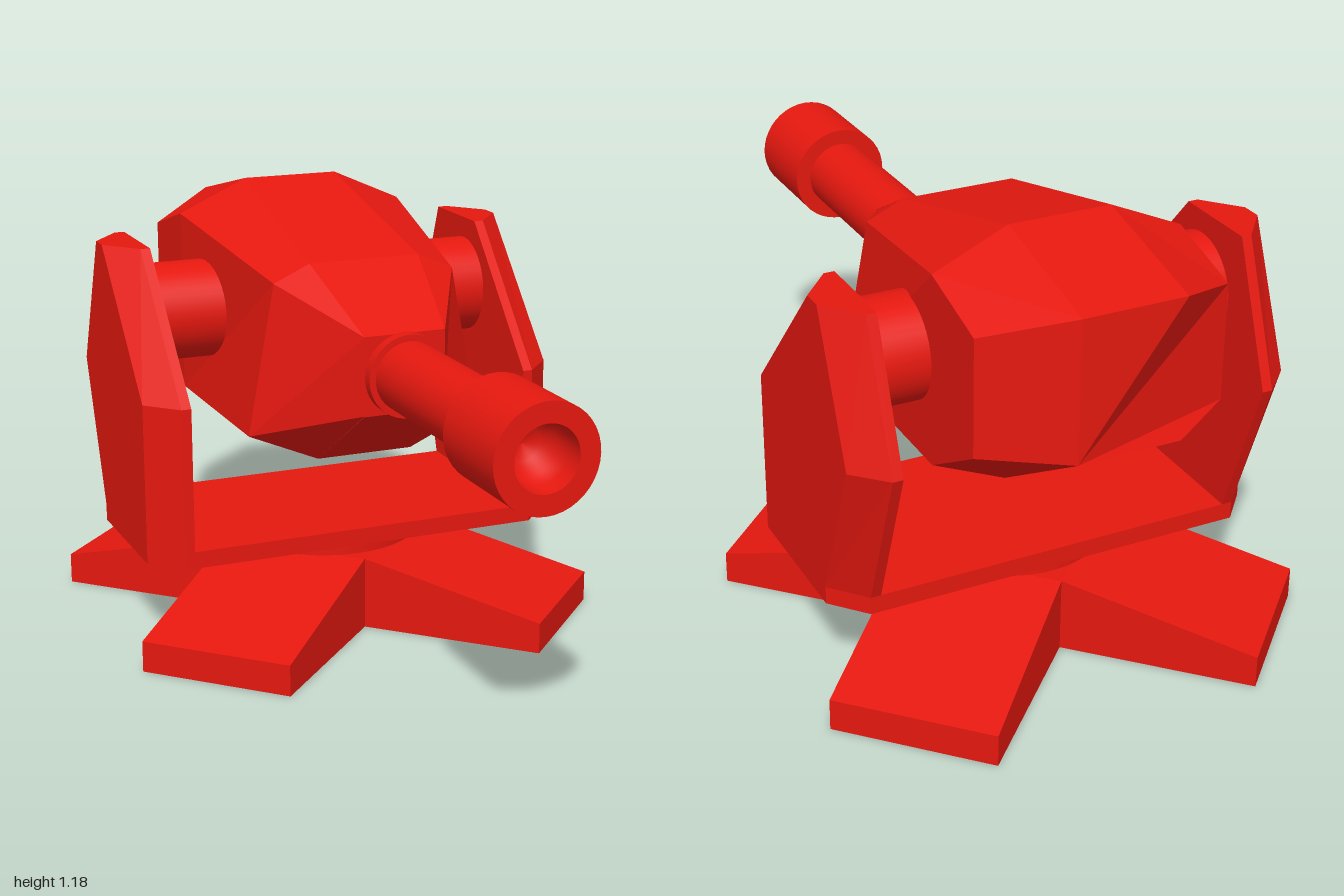
import * as THREE from 'three';

const red = new THREE.MeshStandardMaterial({ color: 0xe5180f });
const redFlat = new THREE.MeshStandardMaterial({ color: 0xe5180f, flatShading: true });

// Skin and cap a stack of rings; each ring runs counter-clockwise seen from the first ring's side.
function loft(rings) {
  const pos = [];
  const tri = (a, b, c) => pos.push(...a, ...b, ...c);
  const n = rings[0].length;
  for (let r = 0; r < rings.length - 1; r++) {
    const a = rings[r], b = rings[r + 1];
    for (let i = 0; i < n; i++) {
      const j = (i + 1) % n;
      tri(a[i], b[i], b[j]);
      tri(a[i], b[j], a[j]);
    }
  }
  const first = rings[0], last = rings[rings.length - 1];
  for (let i = 1; i < n - 1; i++) {
    tri(first[0], first[i], first[i + 1]);
    tri(last[0], last[i + 1], last[i]);
  }
  const g = new THREE.BufferGeometry();
  g.setAttribute('position', new THREE.Float32BufferAttribute(pos, 3));
  g.computeVertexNormals();
  return g;
}

function add(parent, name, geometry, material, x = 0, y = 0, z = 0) {
  const mesh = new THREE.Mesh(geometry, material);
  mesh.name = name;
  mesh.position.set(x, y, z);
  parent.add(mesh);
  return mesh;
}

// Cross-shaped foot: flat square hub with four sloping arms
function buildBase() {
  const base = new THREE.Group();
  base.name = 'base';
  base.position.z = -0.343;
  const w = 0.212;
  const section = (h, z) => [[-w, 0, z], [w, 0, z], [w, h, z], [-w, h, z]];
  const arm = loft([section(0.085, 0.717), section(0.2, w)]);
  const hub = new THREE.BoxGeometry(2 * w, 0.2, 2 * w);
  add(base, 'baseHub', hub, redFlat, 0, 0.1, 0).rotation.y = Math.PI / 4;
  for (let k = 0; k < 4; k++) {
    add(base, 'baseArm', arm, redFlat).rotation.y = Math.PI / 4 + k * Math.PI / 2;
  }
  return base;
}

// Fork: tray plus two upright plates with chamfered outer faces
function buildYoke() {
  const yoke = new THREE.Group();
  yoke.name = 'yoke';
  add(yoke, 'yokeTray', new THREE.BoxGeometry(0.98, 0.047, 0.564), redFlat, 0, 0.2615, -0.338);

  // [z, y] outlines, starting at the front bottom corner
  const outer = [[-0.14, 0.238], [-0.14, 0.68], [-0.475, 1.043], [-0.53, 1.043],
    [-0.68, 0.68], [-0.53, 0.285], [-0.53, 0.238]];
  const inner = [[-0.056, 0.238], [-0.056, 0.68], [-0.38, 1.043], [-0.625, 1.043],
    [-0.76, 0.68], [-0.62, 0.285], [-0.62, 0.238]];

  for (const s of [1, -1]) {
    const ring = (outline, x) => {
      const pts = outline.map(([z, y]) => [s * x, y, z]);
      return s > 0 ? [pts[0], ...pts.slice(1).reverse()] : pts;
    };
    const plate = loft([ring(outer, 0.59), ring(inner, 0.51), ring(inner, 0.483)]);
    add(yoke, s > 0 ? 'leftYokePlate' : 'rightYokePlate', plate, redFlat);

    // Pivot pin between plate and body
    const pin = new THREE.CylinderGeometry(0.135, 0.135, 0.24, 40);
    add(yoke, s > 0 ? 'leftPivot' : 'rightPivot', pin, red, s * 0.37, 0.85, -0.45).rotation.z = Math.PI / 2;
  }
  return yoke;
}

// Faceted body: eight-sided sections from front to back
function buildBody() {
  // Half section from bottom to top as [x, y, z], mirrored across x
  const ring = (half) => [...half, ...half.slice().reverse().map(([x, y, z]) => [-x, y, z])];
  return loft([
    ring([[0.112, 0.69, 0.22], [0.112, 0.692, 0.22], [0.112, 0.898, 0.22], [0.112, 0.9, 0.22]]),
    ring([[0.135, 0.505, -0.045], [0.33, 0.59, -0.045], [0.255, 0.995, -0.045], [0.155, 1.04, -0.045]]),
    ring([[0.135, 0.505, -0.587], [0.33, 0.59, -0.587], [0.33, 1.09, -0.587], [0.135, 1.177, -0.587]]),
    ring([[0.135, 0.725, -0.943], [0.33, 0.72, -0.805], [0.33, 1.025, -0.805], [0.135, 1.092, -0.943]]),
  ]);
}

// Barrel pieces lie along z
function buildBarrel() {
  const barrel = new THREE.Group();
  barrel.name = 'barrel';
  barrel.position.y = 0.793;
  const tube = (name, r, z0, z1) => {
    const g = new THREE.CylinderGeometry(r, r, z1 - z0, 40).rotateX(Math.PI / 2);
    add(barrel, name, g, red, 0, 0, (z0 + z1) / 2);
  };
  tube('barrelCollar', 0.11, 0.2, 0.25);
  tube('barrelTube', 0.093, 0.24, 0.75);

  // Muzzle: flat ends, straight wall and a hollow dished bore
  const lathe = (name, pts) => {
    const g = new THREE.LatheGeometry(pts.map(([r, z]) => new THREE.Vector2(r, z)), 40).rotateX(Math.PI / 2);
    add(barrel, name, g, red);
  };
  lathe('muzzleBack', [[0, 0.74], [0.135, 0.74]]);
  lathe('muzzleWall', [[0.135, 0.74], [0.135, 1]]);
  lathe('muzzleRim', [[0.135, 1], [0.083, 1]]);
  lathe('muzzleBore', [[0.083, 1], [0.081, 0.95], [0.07, 0.91], [0.042, 0.88], [0, 0.87]]);
  return barrel;
}

export function createModel() {
  const model = new THREE.Group();
  model.name = 'turret';
  model.add(buildBase());
  add(model, 'swivelDisc', new THREE.CylinderGeometry(0.259, 0.259, 0.027, 48), red, 0, 0.219, -0.338);
  // Narrow spindle hidden inside the swivel
  add(model, 'swivelSpindle', new THREE.CylinderGeometry(0.1, 0.1, 0.05, 32), red, 0, 0.22, -0.338);
  model.add(buildYoke());
  add(model, 'body', buildBody(), redFlat);
  model.add(buildBarrel());
  return model;
}
